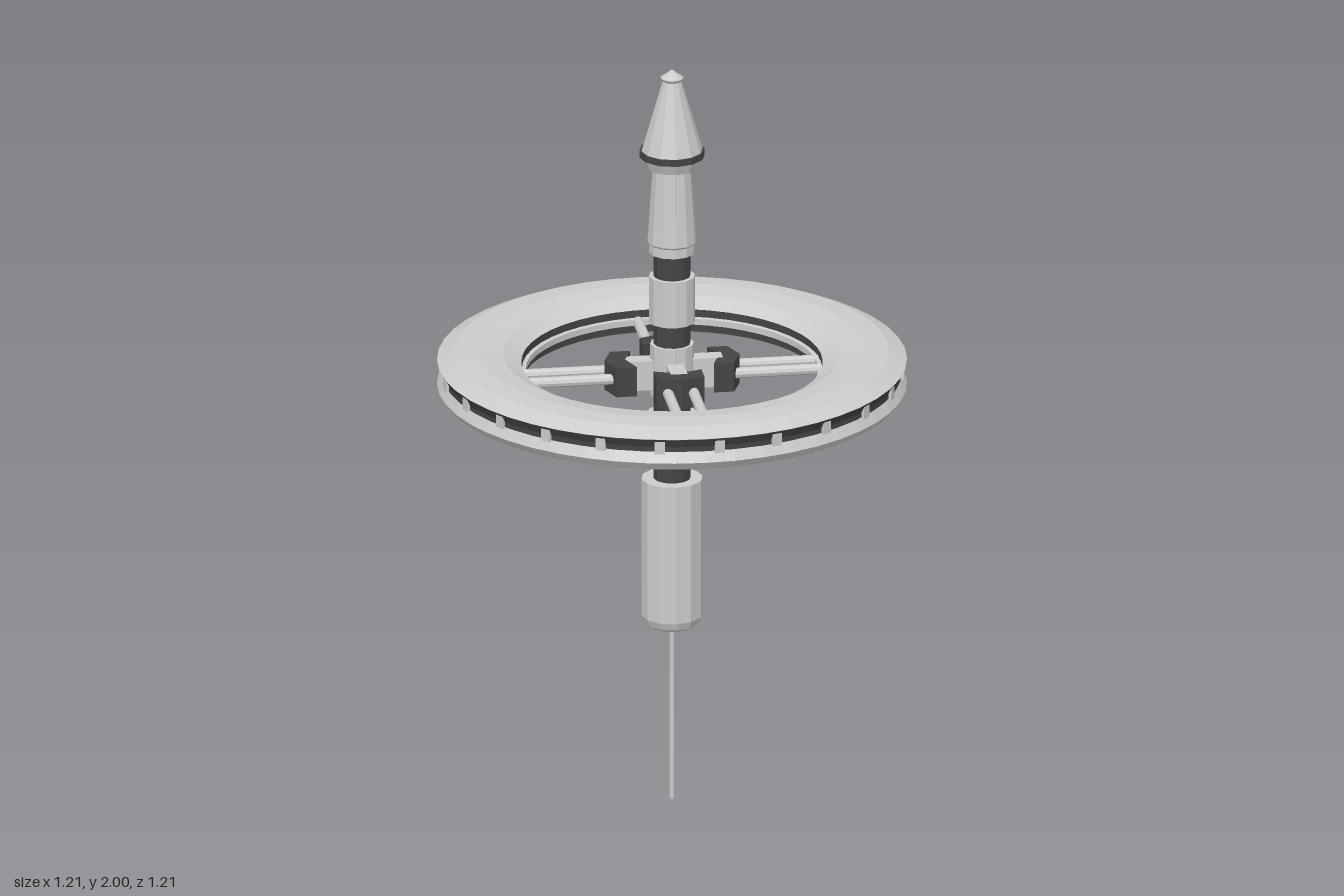
import * as THREE from 'three';

const light = new THREE.MeshStandardMaterial({ color: 0xcccccc, flatShading: true });
const dark = new THREE.MeshStandardMaterial({ color: 0x444444, flatShading: true });
const RING_Y = 1.17;

export function createModel() {
  const model = new THREE.Group();

  const add = (parent, name, geometry, material = light) => {
    const mesh = new THREE.Mesh(geometry, material);
    mesh.name = name;
    parent.add(mesh);
    return mesh;
  };
  // Profile points are [radius, height]; outer surfaces run upwards
  const lathe = (name, points, material = light, sides = 12) =>
    add(model, name, new THREE.LatheGeometry(points.map(p => new THREE.Vector2(...p)), sides), material);
  const drum = (name, r, y0, y1, material = light) =>
    lathe(name, [[0, y0], [r, y0], [r, y1], [0, y1]], material);

  // Central spindle, from the antenna up to the nose
  lathe('antenna', [[0, 0], [0.007, 0], [0.007, 0.48], [0, 0.48]], light, 8);
  lathe('lowerTank', [[0, 0.475], [0.055, 0.475], [0.072, 0.485], [0.08, 0.505], [0.08, 0.88], [0, 0.88]]);
  drum('core', 0.048, 0.87, 1.51, dark);
  drum('lowerCollar', 0.063, 0.97, 1.06);
  drum('hub', 0.057, 1.11, 1.25);
  drum('upperCollar', 0.06, 1.31, 1.435);
  lathe('upperModule', [[0, 1.5], [0.06, 1.5], [0.06, 1.525], [0.064, 1.53], [0.05, 1.74], [0, 1.74]]);
  lathe('noseBase', [[0, 1.735], [0.07, 1.735], [0.083, 1.765], [0, 1.765]]);
  drum('noseBand', 0.085, 1.763, 1.78, dark);
  lathe('noseCone', [[0, 1.778], [0.08, 1.778], [0.024, 1.97], [0, 1.97]]);
  lathe('noseTip', [[0, 1.965], [0.022, 1.965], [0.03, 1.978], [0, 2]]);

  // Habitat ring: upper and lower shells, with dark strips inside and outside
  lathe('ringTop', [[0.592, 1.195], [0.606, 1.205], [0.56, 1.226], [0.5, 1.23],
    [0.435, 1.221], [0.39, 1.197], [0.39, 1.185]], light, 48);
  lathe('ringBottom', [[0.39, 1.15], [0.39, 1.143], [0.435, 1.119], [0.5, 1.11],
    [0.56, 1.111], [0.59, 1.118], [0.606, 1.14], [0.592, 1.167]], light, 48);
  lathe('ringWindows', [[0.592, 1.167], [0.592, 1.18], [0.604, 1.204]], dark, 48);
  lathe('ringInnerWall', [[0.387, 1.2], [0.387, 1.14]], dark, 48);
  lathe('ringInnerRail', [[0.387, 1.18], [0.377, 1.178], [0.377, 1.162], [0.387, 1.16]], light, 48);

  // Frames between the windows
  for (let i = 0; i < 24; i++) {
    const pivot = new THREE.Group();
    pivot.name = 'windowFrame';
    pivot.rotation.y = THREE.MathUtils.degToRad(3.75 + 15 * i);
    add(pivot, 'frame', new THREE.BoxGeometry(0.026, 0.042, 0.02)).position.set(0, 1.184, 0.589);
    model.add(pivot);
  }

  // Dark docking brackets with a pointed outer face
  const chevron = new THREE.Shape([[0.1, -0.062], [0.153, -0.062], [0.176, 0],
    [0.153, 0.062], [0.1, 0.062], [0.122, 0]].map(p => new THREE.Vector2(...p)));
  const bracketGeometry = new THREE.ExtrudeGeometry(chevron, { depth: 0.08, bevelEnabled: false });
  bracketGeometry.rotateX(-Math.PI / 2).translate(0, -0.04, 0);

  // Four arms: stub, bracket and a pair of spokes
  for (let i = 0; i < 4; i++) {
    const arm = new THREE.Group();
    arm.name = 'arm';
    arm.position.y = RING_Y;
    arm.rotation.y = i * Math.PI / 2;
    add(arm, 'armStub', new THREE.BoxGeometry(0.12, 0.08, 0.044)).position.x = 0.07;
    add(arm, 'bracket', bracketGeometry, dark);
    for (const side of [-1, 1]) {
      const spoke = add(arm, 'spoke', new THREE.CylinderGeometry(0.014, 0.014, 0.25, 10));
      spoke.rotation.z = Math.PI / 2;
      spoke.position.set(0.26, 0, side * 0.033);
    }
    model.add(arm);
  }

  return model;
}
